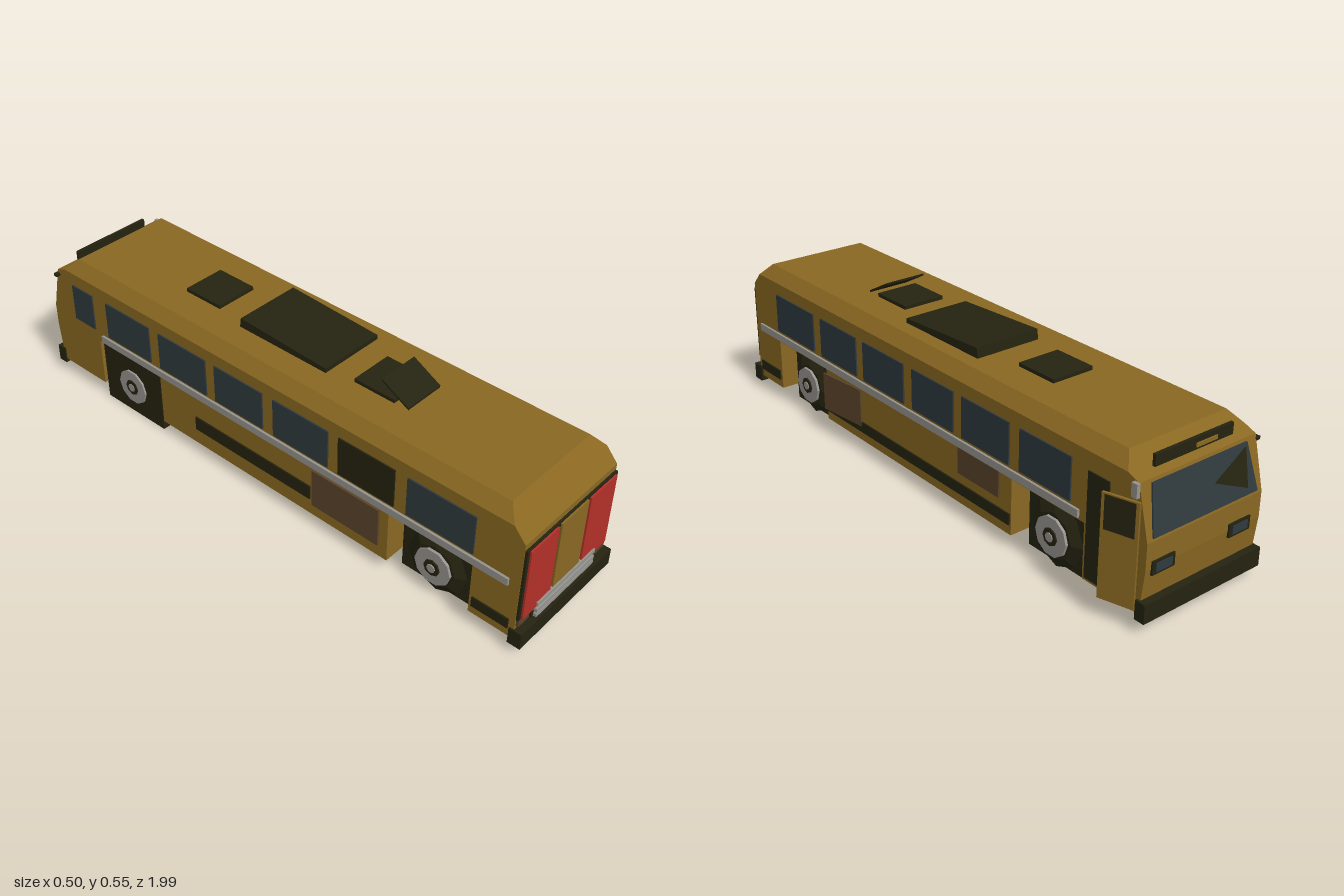
import * as THREE from 'three';

const mat = (name, color) => {
  const m = new THREE.MeshStandardMaterial({ color });
  m.name = name;
  return m;
};

export function createModel() {
  const bus = new THREE.Group();
  bus.name = 'bus';
  const gold = mat('gold paint', 0x8a6822);
  const dark = mat('dark trim', 0x252310);
  const glass = mat('tinted glass', 0x2f3a3e);
  const red = mat('red panel', 0xb43028);
  const grey = mat('grey metal', 0x96948e);
  const brown = mat('brown panel', 0x5a432a);
  for (const m of [gold, dark, glass, red, grey, brown]) m.flatShading = true;

  const L = -0.235, R = 0.205; // side walls
  const add = (name, geo, m) => {
    const mesh = new THREE.Mesh(geo, m);
    mesh.name = name;
    bus.add(mesh);
    return mesh;
  };
  // Box given by its limits on each axis
  const box = (name, m, x0, x1, y0, y1, z0, z1) => {
    const mesh = add(name, new THREE.BoxGeometry(x1 - x0, y1 - y0, z1 - z0), m);
    mesh.position.set((x0 + x1) / 2, (y0 + y1) / 2, (z0 + z1) / 2);
    return mesh;
  };
  const shapeOf = pts => new THREE.Shape(pts.map(p => new THREE.Vector2(...p)));
  // Side outline (z, y) extruded across the width
  const across = (name, m, pts, x0, x1) => {
    const g = new THREE.ExtrudeGeometry(shapeOf(pts), { depth: x1 - x0, bevelEnabled: false });
    g.rotateY(-Math.PI / 2).translate(x1, 0, 0);
    return add(name, g, m);
  };

  // Body with open wheel arches
  across('body', gold, [
    [0.965, 0.055], [0.965, 0.41], [0.925, 0.455], [-0.905, 0.455], [-0.945, 0.44],
    [-0.985, 0.28], [-0.985, 0.2], [-0.97, 0.06], [-0.755, 0.06], [-0.755, 0.235],
    [-0.455, 0.235], [-0.455, 0.05], [0.512, 0.05], [0.512, 0.235], [0.81, 0.235], [0.81, 0.055],
  ], L, R);

  // Hipped roof: a box whose top is drawn inwards
  const roofGeo = new THREE.BoxGeometry(R - L, 0.04, 1.83);
  const rp = roofGeo.attributes.position;
  for (let i = 0; i < rp.count; i++) {
    if (rp.getY(i) > 0) {
      rp.setX(i, rp.getX(i) - Math.sign(rp.getX(i)) * 0.036);
      rp.setZ(i, rp.getZ(i) - Math.sign(rp.getZ(i)) * 0.037);
    }
  }
  roofGeo.computeVertexNormals();
  add('roof', roofGeo, gold).position.set(-0.015, 0.475, 0.01);

  // Roof equipment
  box('roofHatch', dark, -0.09, 0.06, 0.494, 0.507, -0.46, -0.31);
  box('roofHatchBase', dark, -0.09, 0.06, 0.494, 0.507, 0.25, 0.4);
  across('airConditioner', dark, [[0.16, 0.494], [0.16, 0.51], [-0.19, 0.528], [-0.195, 0.494]], -0.115, 0.12);
  across('openHatchLid', dark, [[0.45, 0.495], [0.45, 0.502], [0.35, 0.556], [0.35, 0.549]], -0.088, 0.058);

  // Side windows, stripes and trim
  const windows = [[0.575, 0.81], [0.32, 0.53], [0.06, 0.28], [-0.19, 0.015], [-0.445, -0.23], [-0.7, -0.49]];
  for (const [name, x0, x1] of [['right', R, R + 0.005], ['left', L - 0.005, L]]) {
    windows.forEach(([z0, z1], i) =>
      box(name + 'Window', name === 'left' && i === 1 ? dark : glass, x0, x1, 0.278, 0.413, z0, z1));
    box(name + 'Stripe', grey, x0 - 0.003, x1 + 0.003, 0.243, 0.268, -0.735, 0.93);
    box(name + 'RearTrim', dark, x0, x1, 0.085, 0.12, 0.82, 0.945);
  }
  box('rightSkirtTrim', dark, R, R + 0.005, 0.083, 0.12, -0.45, 0.51);
  box('leftSkirtTrim', dark, L - 0.005, L, 0.11, 0.16, -0.29, 0.21);
  box('rightLocker', brown, R, R + 0.007, 0.155, 0.245, -0.405, -0.215);
  box('leftLocker', brown, L - 0.007, L, 0.095, 0.232, 0.22, 0.48);
  box('driverWindow', glass, L - 0.005, L, 0.278, 0.41, -0.87, -0.77);

  // Swung-out locker flap and doorway with its open door
  box('openLocker', brown, 0.216, 0.222, 0.105, 0.236, 0.3, 0.49).rotation.y = 0.1;
  box('doorway', dark, R, R + 0.004, 0.07, 0.4, -0.845, -0.765);
  const door = new THREE.Group();
  door.name = 'openDoor';
  const leaf = box('doorLeaf', gold, -0.004, 0.004, 0.07, 0.392, -0.055, 0.055);
  const pane = box('doorWindow', dark, -0.006, 0.006, 0.285, 0.388, -0.045, 0.045);
  door.add(leaf, pane);
  door.position.set(0.227, 0, -0.907);
  door.rotation.y = 0.3;
  bus.add(door);

  // Wheels: V-edged octagonal tyre, stepped hub, square inner well
  for (const [end, z] of [['rear', 0.665], ['front', -0.607]]) {
    for (const side of [1, -1]) {
      const c = side > 0 ? 0.163 : -0.192;
      const wide = side < 0 && end === 'front';
      const inner = side > 0 ? 0.1 : -0.13, outer = side > 0 ? 0.145 : wide ? -0.228 : -0.175;
      box(end + 'WheelWell', dark, Math.min(inner, outer), Math.max(inner, outer), 0.005, 0.226, z - 0.14, z + 0.14);
      const wheel = new THREE.Group();
      wheel.name = end + 'Wheel';
      const tyrePts = [[0, -0.018], [0.075, -0.018], [0.108, 0], [0.075, 0.018], [0, 0.018]];
      const parts = [
        ['tyre', new THREE.LatheGeometry(tyrePts.map(p => new THREE.Vector2(...p)), 8), dark, 0],
        ['rim', new THREE.CylinderGeometry(0.064, 0.064, 0.012, 10), grey, wide ? 0.037 : 0.021],
        ['hubCap', new THREE.CylinderGeometry(0.028, 0.03, 0.008, 8), dark, wide ? 0.042 : 0.027],
        ['axleEnd', new THREE.CylinderGeometry(0.015, 0.015, 0.006, 8), grey, wide ? 0.045 : 0.031],
      ];
      for (const [name, geo, m, out] of parts) {
        const part = add(name, geo, m);
        part.position.y = out;
        wheel.add(part);
      }
      wheel.rotation.z = -side * Math.PI / 2;
      wheel.position.set(c, 0.114, z);
      bus.add(wheel);
    }
  }

  // Engine end: framed red and gold panels, bars and bumper
  box('rearFrame', dark, -0.233, 0.203, 0.128, 0.39, 0.962, 0.973);
  box('rearGrille', dark, -0.17, 0.145, 0.09, 0.13, 0.962, 0.973);
  box('redPanel', red, -0.222, -0.092, 0.13, 0.385, 0.972, 0.979);
  box('redPanel', red, 0.062, 0.192, 0.13, 0.385, 0.972, 0.979);
  box('centrePanel', gold, -0.08, 0.05, 0.13, 0.387, 0.972, 0.979);
  for (const y of [0.09, 0.109, 0.135]) box('rearBar', grey, -0.158, 0.128, y, y + 0.014, 0.972, 0.984);
  box('rearLamp', brown, -0.23, -0.178, 0.102, 0.128, 0.964, 0.973);
  box('rearLamp', brown, 0.148, 0.2, 0.102, 0.128, 0.964, 0.973);
  box('rearBumper', dark, -0.24, 0.213, 0.035, 0.092, 0.95, 0.993);

  // Driver end: plates lying on the sloping windscreen face
  const slopePlate = (name, m, pts, lift) => {
    const g = new THREE.ExtrudeGeometry(shapeOf(pts), { depth: 0.006, bevelEnabled: false });
    const p = g.attributes.position;
    for (let i = 0; i < p.count; i++) p.setZ(i, p.getZ(i) - 0.945 - (0.44 - p.getY(i)) * 0.25 - lift);
    g.computeVertexNormals();
    add(name, g, m);
  };
  slopePlate('windscreen', glass, [[-0.215, 0.29], [0.185, 0.29], [0.165, 0.43], [-0.195, 0.43]], 0.005);
  slopePlate('windscreenCorner', dark, [[-0.055, 0.36], [-0.175, 0.31], [-0.185, 0.42]], 0.008);
  for (const x of [-0.15, 0.143]) {
    box('headlampSurround', dark, x - 0.042, x + 0.042, 0.18, 0.222, -0.99, -0.975);
    box('headlamp', glass, x - 0.03, x + 0.03, 0.188, 0.214, -0.993, -0.985);
  }
  box('routeSign', dark, -0.165, 0.13, 0.452, 0.488, -0.925, -0.915);
  box('signPlate', gold, -0.1, -0.02, 0.46, 0.472, -0.929, -0.924);
  box('frontBumper', dark, -0.24, 0.213, 0.045, 0.105, -0.998, -0.963);

  // Mirrors
  box('rightMirror', grey, 0.206, 0.218, 0.4, 0.442, -0.95, -0.93);
  box('leftMirror', dark, -0.25, -0.233, 0.419, 0.429, -0.95, -0.935);
  return bus;
}
